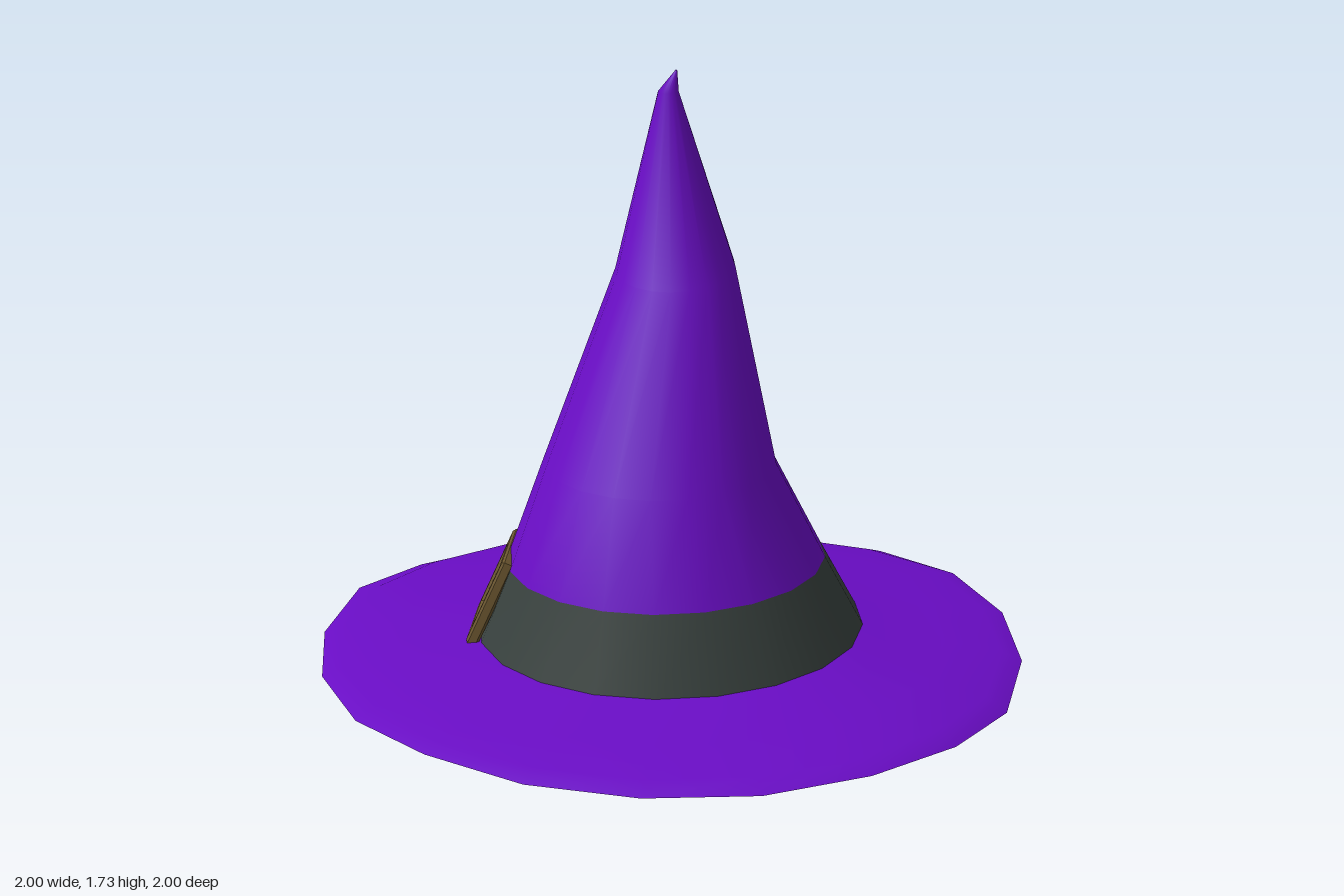
import * as THREE from 'three';

const SIDES = 20;

// One closed ring of points; height may vary by angle index
function ring(cx, cz, r, height) {
  return Array.from({ length: SIDES }, (_, j) => {
    const a = (j / SIDES) * Math.PI * 2;
    const x = Math.cos(a) * r, z = Math.sin(a) * r;
    return [cx + x, height(x, z, j), cz + z];
  });
}

// Smooth skin over successive rings; materialIndex gives a slot for each strip
function loft(rings, materialIndex) {
  const geo = new THREE.BufferGeometry();
  const index = [];
  for (let i = 0; i < rings.length - 1; i++) {
    if (materialIndex) geo.addGroup(index.length, SIDES * 6, materialIndex(i));
    for (let j = 0; j < SIDES; j++) {
      const k = (j + 1) % SIDES;
      const a = i * SIDES + j, b = i * SIDES + k;
      const c = a + SIDES, d = b + SIDES;
      index.push(a, c, b, b, c, d);
    }
  }
  geo.setAttribute('position', new THREE.Float32BufferAttribute(rings.flat(2), 3));
  geo.setIndex(index);
  geo.computeVertexNormals();
  return geo;
}

function rectangle(PathType, w, h) {
  const p = new PathType();
  p.moveTo(-w / 2, -h / 2);
  p.lineTo(w / 2, -h / 2);
  p.lineTo(w / 2, h / 2);
  p.lineTo(-w / 2, h / 2);
  p.closePath();
  return p;
}

export function createModel() {
  const purple = new THREE.MeshStandardMaterial({ color: 0x6a0dc6 });
  purple.name = 'purple felt';
  const grey = new THREE.MeshStandardMaterial({ color: 0x39423f });
  grey.name = 'dark grey band';
  const brass = new THREE.MeshStandardMaterial({ color: 0x6b5630 });
  brass.name = 'aged brass';

  const hat = new THREE.Group();
  hat.name = 'pointedHat';
  const add = (name, geo, mat) => {
    const mesh = new THREE.Mesh(geo, mat);
    mesh.name = name;
    hat.add(mesh);
    return mesh;
  };

  // Crooked crown: centre x, centre z, radius, height, tilt along x, tilt along z
  const crownRings = [
    [0, 0.003, 0.547, 0.118, 0.02, 0],
    [-0.01, 0.035, 0.448, 0.335, 0.02, 0],
    [-0.025, 0.075, 0.325, 0.63, 0, 0],
    [0.012, -0.012, 0.166, 1.167, 0.03, -0.15],
    [-0.004, 0.028, 0.028, 1.67, 0, 0],
    [0.018, 0.03, 0.002, 1.73, 0, 0],
  ].map(([cx, cz, r, y, tx, tz]) => ring(cx, cz, r, (x, z) => y + x * tx + z * tz));
  // The lowest strip is the hat band
  add('crownAndBand', loft(crownRings, (i) => (i === 0 ? 1 : 0)), [purple, grey]);

  // Wavy brim; rim heights run from +x round through +z
  const rim = [
    0.03, 0.005, 0.025, 0.035, 0.035, 0.04, 0.045, 0.055, 0.045, 0.05,
    0.055, 0.07, 0.04, 0.02, 0.01, 0, 0.005, 0.04, 0.06, 0.05,
  ];
  const edge = ring(0, 0, 1, (x, z, j) => rim[j]);
  add('brimTop', loft([
    edge,
    ring(0, 0, 0.94, (x, z, j) => 0.04 + rim[j] * 0.6),
    ring(0, 0, 0.78, (x, z, j) => 0.075 + rim[j] * 0.3),
    crownRings[0],
  ]), purple);
  add('brimUnderside', loft([
    ring(0, 0, 0.001, () => 0.03),
    ring(0, 0, 0.6, (x, z, j) => 0.012 + rim[j] * 0.6),
    edge,
  ]), purple);

  // Square buckle frame leaning against the band on the -x side
  const frame = rectangle(THREE.Shape, 0.255, 0.255);
  frame.holes.push(rectangle(THREE.Path, 0.2, 0.2));
  const buckleGeo = new THREE.ExtrudeGeometry(frame, {
    depth: 0.022, bevelEnabled: true, bevelSize: 0.007, bevelThickness: 0.007, bevelSegments: 1,
  });
  buckleGeo.translate(0, 0, -0.018);
  buckleGeo.rotateX(-0.42);
  buckleGeo.rotateY(-Math.PI / 2);
  add('buckle', buckleGeo, brass).position.set(-0.503, 0.225, 0.033);

  return hat;
}
